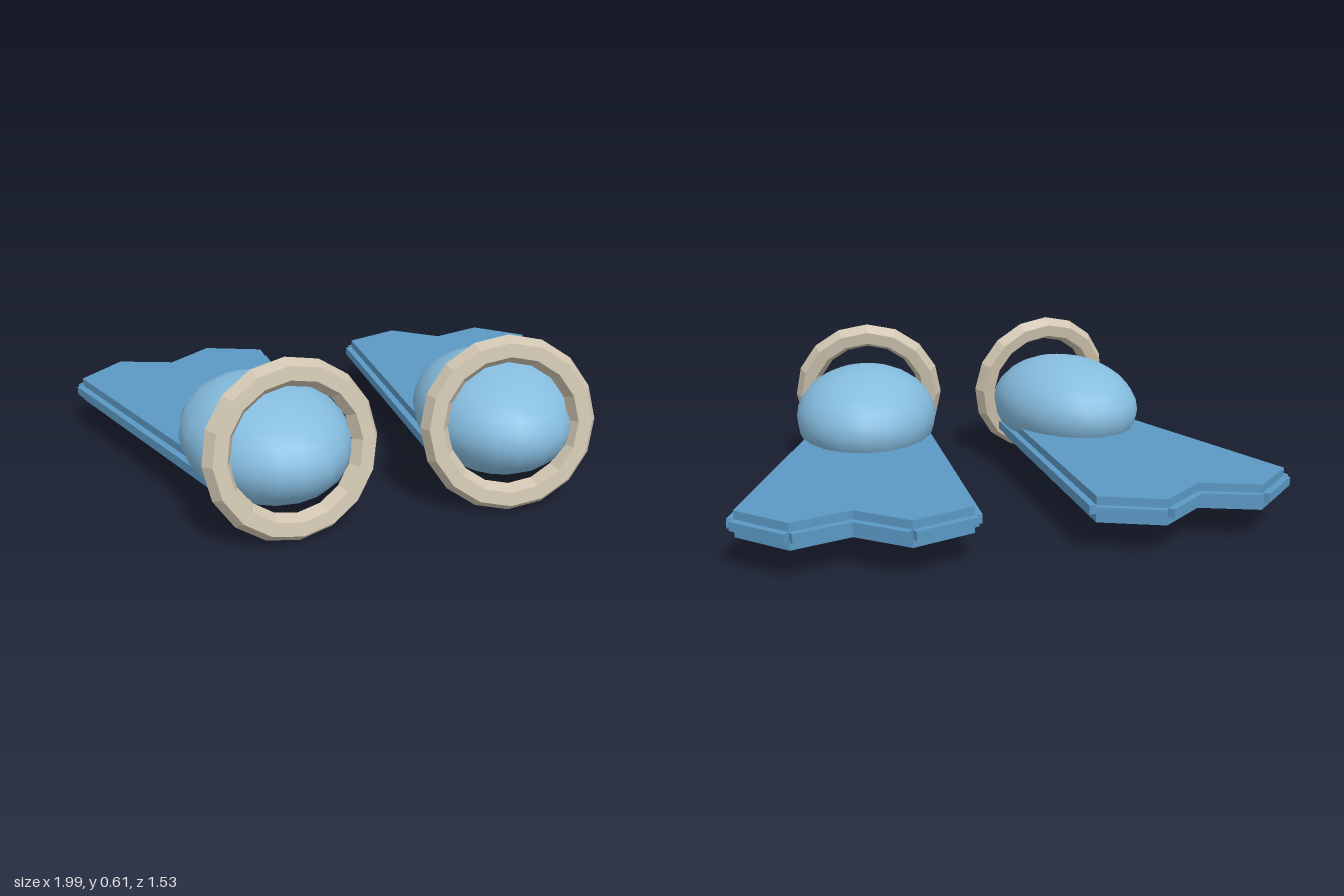
import * as THREE from 'three';

const bladeBlue = new THREE.MeshStandardMaterial({ name: 'bladeBlue', color: 0x5b99c5 });
const pocketBlue = new THREE.MeshStandardMaterial({ name: 'pocketBlue', color: 0x86bde0 });
const cuffBeige = new THREE.MeshStandardMaterial({ name: 'cuffBeige', color: 0xd0c5b1 });

// Blade outline of the left fin as [x, z]
const OUTLINE = [
  [0.185, 0.48], [0.59, 0.54], [0.973, -0.515], [0.807, -0.677],
  [0.6, -0.605], [0.428, -0.745], [0.208, -0.66],
];
const YAW = -0.15; // fins splay outwards towards the tips

function makeMesh(name, geometry, material, parent) {
  const mesh = new THREE.Mesh(geometry, material);
  mesh.name = name;
  parent.add(mesh);
  return mesh;
}

// side: +1 for the left fin, -1 for the right
function createFin(side) {
  const fin = new THREE.Group();
  fin.name = side > 0 ? 'leftFin' : 'rightFin';
  const points = OUTLINE.map(([x, z]) => new THREE.Vector2(side * x, z));

  // Flat blade
  const shape = new THREE.Shape(points.map((p) => new THREE.Vector2(p.x, -p.y)));
  const bladeGeometry = new THREE.ExtrudeGeometry(shape, { depth: 0.092, bevelEnabled: false });
  bladeGeometry.rotateX(-Math.PI / 2);
  makeMesh('blade', bladeGeometry, bladeBlue, fin).position.y = 0.124;

  // Thin rails centred on every blade edge
  const rails = new THREE.Group();
  rails.name = 'bladeRails';
  fin.add(rails);
  points.forEach((a, i) => {
    const b = points[(i + 1) % points.length];
    const rail = makeMesh('rail', new THREE.BoxGeometry(a.distanceTo(b), 0.032, 0.05), bladeBlue, rails);
    rail.position.set((a.x + b.x) / 2, 0.17, (a.y + b.y) / 2);
    rail.rotation.y = -Math.atan2(b.y - a.y, b.x - a.x);
  });

  // Rounded foot pocket
  const pocketGeometry = new THREE.SphereGeometry(1, 20, 14);
  pocketGeometry.scale(0.282, 0.199, 0.383);
  const pocket = makeMesh('footPocket', pocketGeometry, pocketBlue, fin);
  pocket.position.set(side * 0.422, 0.276, 0.384);
  pocket.rotation.y = side * YAW;

  // Faceted cuff ring, leaning back
  const cuffMaterial = cuffBeige;
  const cuffGeometry = new THREE.TorusGeometry(0.2595, 0.0475, 6, 16).toNonIndexed();
  cuffGeometry.computeVertexNormals(); // faceted normals
  const cuff = makeMesh('cuffRing', cuffGeometry, cuffMaterial, fin);
  cuff.position.set(side * 0.38, 0.313, 0.615);
  cuff.rotation.set(-0.17, side * YAW, 0, 'YXZ');
  return fin;
}

export function createModel() {
  const model = new THREE.Group();
  model.name = 'swimFins';
  for (const side of [1, -1]) model.add(createFin(side));
  return model;
}
